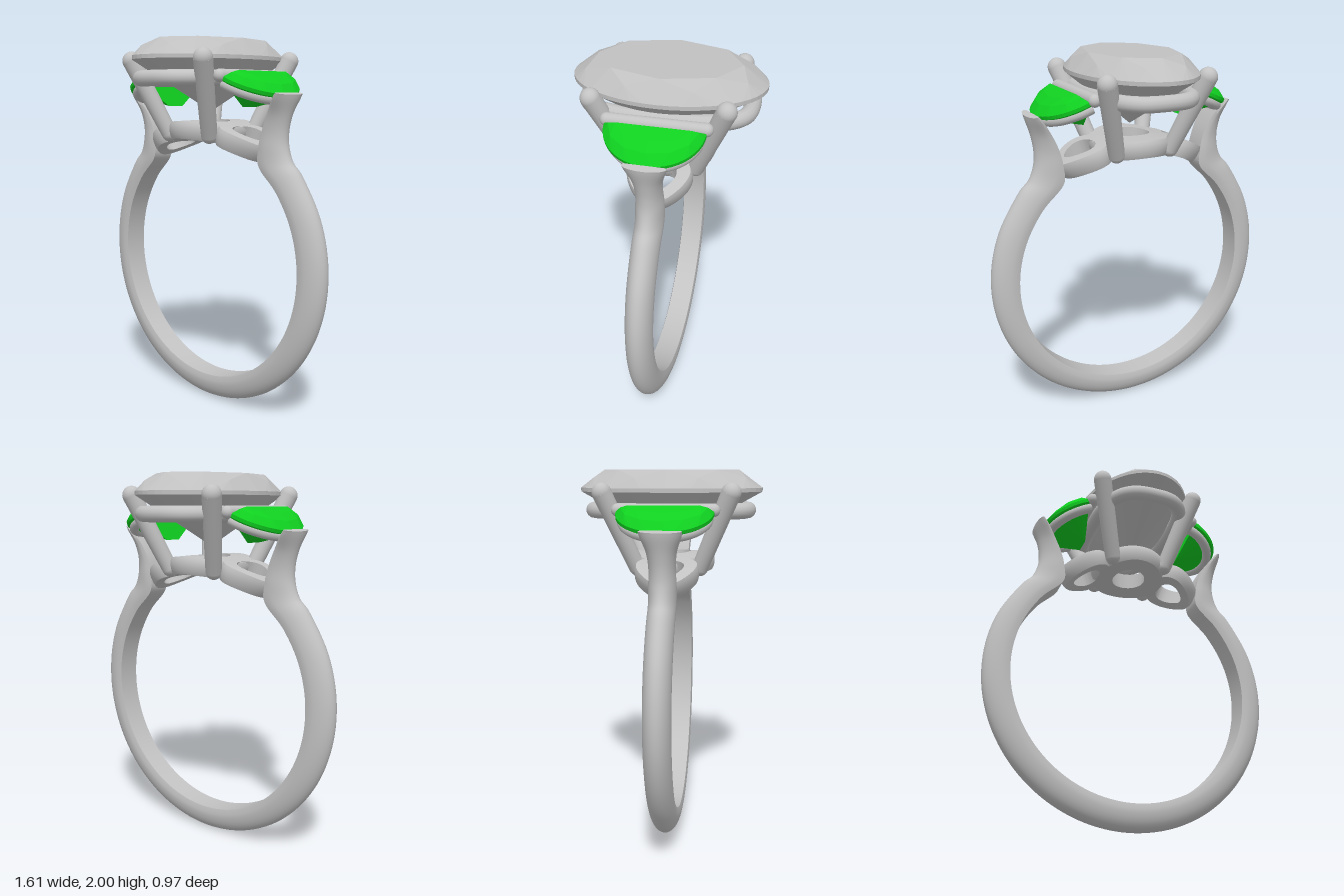
import * as THREE from 'three';
import { toCreasedNormals } from 'three/addons/utils/BufferGeometryUtils.js';
import { ConvexGeometry } from 'three/addons/geometries/ConvexGeometry.js';

const metal = new THREE.MeshStandardMaterial({ color: 0xc2c2c2 });
metal.name = 'silver metal';
const clear = new THREE.MeshStandardMaterial({ color: 0xc0c0c0 });
clear.name = 'pale gem';
const green = new THREE.MeshStandardMaterial({ color: 0x10d020 });
green.name = 'green gem';

const V = (x, y, z) => new THREE.Vector3(x, y, z);
const CENTRE_Y = 0.81, INNER = 0.67;

function add(parent, name, geometry, material = metal) {
  const mesh = new THREE.Mesh(geometry, material);
  mesh.name = name;
  parent.add(mesh);
  return mesh;
}

// Skin a row of equal-sized cross-sections; either a closed loop or capped at both ends
function loft(sections, closed) {
  const n = sections.length, m = sections[0].length;
  const pts = sections.flat(), tris = [];
  for (let i = 0; i < (closed ? n : n - 1); i++) {
    for (let j = 0; j < m; j++) {
      const k = (j + 1) % m, i2 = (i + 1) % n;
      const a = i * m + j, b = i * m + k, c = i2 * m + k, d = i2 * m + j;
      tris.push([a, b, c], [a, c, d]);
    }
  }
  if (!closed) {
    for (let j = 1; j < m - 1; j++) {
      const e = (n - 1) * m;
      tris.push([0, j + 1, j], [e, e + j, e + j + 1]);
    }
  }
  // Turn the faces outwards when the enclosed volume is negative
  let volume = 0;
  for (const [a, b, c] of tris) volume += pts[a].dot(pts[b].clone().cross(pts[c]));
  if (volume < 0) tris.forEach((t) => t.reverse());
  const g = new THREE.BufferGeometry().setFromPoints(pts);
  g.setIndex(tris.flat());
  return toCreasedNormals(g, 0.7);
}

// Round bar between two points with ball ends
function bar(parent, name, a, b, ra, rb) {
  const dir = b.clone().sub(a);
  const rod = add(parent, name, new THREE.CylinderGeometry(rb, ra, dir.length(), 20, 1));
  rod.position.copy(a).lerp(b, 0.5);
  rod.quaternion.setFromUnitVectors(V(0, 1, 0), dir.normalize());
  for (const [p, r] of [[a, ra], [b, rb]]) {
    add(parent, name + 'End', new THREE.SphereGeometry(r, 20, 14)).position.copy(p);
  }
}

// Round band with a D section, its ends rising into flared side prongs
function shankGeometry() {
  // Columns: inner x, inner y, outer x, outer y, half width
  const arm = [
    [0.41, 1.345, 0.575, 1.375, 0.07],
    [0.405, 1.44, 0.545, 1.45, 0.07],
    [0.425, 1.53, 0.54, 1.525, 0.067],
    [0.465, 1.615, 0.552, 1.605, 0.075],
    [0.515, 1.69, 0.572, 1.68, 0.1],
    [0.54, 1.72, 0.578, 1.71, 0.105],
  ];
  const rows = arm.map(([a, b, c, d, w]) => [-a, b, -c, d, w]).reverse();
  for (let deg = -128; deg <= 128; deg += 16) {
    const s = Math.sin(deg * Math.PI / 180), c = Math.cos(deg * Math.PI / 180);
    rows.push([INNER * s, CENTRE_Y - INNER * c, 0.807 * s, CENTRE_Y - 0.807 * c, 0.07]);
  }
  rows.push(...arm);
  const inner = new THREE.CatmullRomCurve3(rows.map((r) => V(r[0], r[1], 0)), false, 'catmullrom');
  const outer = new THREE.CatmullRomCurve3(rows.map((r) => V(r[2], r[3], r[4])), false, 'catmullrom');
  const profile = [[0, -0.9]];
  for (let i = 0; i <= 16; i++) {
    const a = i / 16 * Math.PI;
    profile.push([0.2 + 0.8 * Math.sin(a), -Math.cos(a)]);
  }
  profile.push([0, 0.9]);
  const sections = [], steps = 168;
  for (let i = 0; i <= steps; i++) {
    const p = inner.getPoint(i / steps), q = outer.getPoint(i / steps);
    sections.push(profile.map(([u, z]) => V(p.x + (q.x - p.x) * u, p.y + (q.y - p.y) * u, z * q.z)));
  }
  return loft(sections, false);
}

// Pierced plate bent over the finger hole: edge(angle) gives the outline as [s, z]
function bentPlate(centre, edge, hole) {
  const sections = [];
  for (let i = 0; i < 64; i++) {
    const [s, z] = edge(i / 64 * Math.PI * 2);
    const at = (k, h) => {
      const t = (centre + s * k) / 0.72, r = INNER + h;
      return V(r * Math.sin(t), CENTRE_Y + r * Math.cos(t), z * k);
    };
    sections.push([at(hole, 0), at(0.95, 0), at(0.99, 0.02), at(1, 0.048),
      at(0.99, 0.075), at(0.94, 0.093), at(hole, 0.095)]);
  }
  return loft(sections, true);
}

// Oval brilliant with table, crown, thin girdle and pointed pavilion
function ovalGem() {
  const pts = [V(0, 1.62, 0)];
  const ring = (n, r, y, offset = 0) => {
    for (let i = 0; i < n; i++) {
      const a = (i + offset) / n * Math.PI * 2;
      pts.push(V(0.315 * r * Math.cos(a), y, 0.483 * r * Math.sin(a)));
    }
  };
  ring(8, 0.74, 2);
  ring(8, 0.885, 1.961, 0.5);
  ring(48, 1, 1.908);
  ring(48, 1, 1.888);
  ring(8, 0.44, 1.737, 0.5);
  return new ConvexGeometry(pts);
}

// Half-moon gem, straight edge at x = 0
function halfMoonGem() {
  const pts = [V(0.015, -0.15, -0.05), V(0.015, -0.15, 0.05)];
  const arc = (n, x, rx, y, rz) => {
    for (let i = 0; i <= n; i++) {
      const a = (i / n - 0.5) * Math.PI;
      pts.push(V(x + rx * Math.cos(a), y, rz * Math.sin(a)));
    }
  };
  arc(24, 0, 0.22, 0.008, 0.245);
  arc(24, 0, 0.22, -0.01, 0.245);
  arc(6, 0.02, 0.15, 0.04, 0.215);
  arc(4, 0.025, 0.085, 0.053, 0.18);
  return new ConvexGeometry(pts);
}

export function createModel() {
  const ring = new THREE.Group();
  ring.name = 'threeStoneRing';
  add(ring, 'shank', shankGeometry());

  // Pierced bridge under the stones
  add(ring, 'bridgeCentre', bentPlate(0, (a) => [0.22 * Math.cos(a), 0.235 * Math.sin(a)], 0.45));

  // Centre stone with its rail and four prongs
  add(ring, 'centreStone', ovalGem(), clear);
  const oval = [];
  for (let i = 0; i < 48; i++) {
    const a = i / 48 * Math.PI * 2, c = Math.cos(a), s = Math.sin(a);
    const k = Math.pow(Math.abs(c) ** 3 + Math.abs(s) ** 3, -1 / 3);
    oval.push(V(0.232 * k * c, 1.793, 0.41 * k * s));
  }
  add(ring, 'centreRail', new THREE.TubeGeometry(
    new THREE.CatmullRomCurve3(oval, true), 96, 0.041, 14, true));
  for (const sx of [1, -1]) for (const sz of [1, -1]) {
    bar(ring, 'prong', V(sx * 0.155, 1.5, sz * 0.165), V(sx * 0.276, 1.888, sz * 0.325), 0.043, 0.05);
  }

  // Side settings, the second turned half way round
  for (const side of ['left', 'right']) {
    const setting = new THREE.Group();
    setting.name = side + 'Setting';
    setting.rotation.y = side === 'left' ? 0 : Math.PI;
    ring.add(setting);

    add(setting, 'bridgeLoop', bentPlate(0.285,
      (a) => [0.15 * Math.cos(a), 0.16 * Math.sin(a) * (1 - 0.3 * Math.cos(a))], 0.55));
    bar(setting, 'edgeBar', V(0.305, 1.803, -0.24), V(0.305, 1.803, 0.24), 0.033, 0.033);

    const tilted = new THREE.Group();
    tilted.name = 'halfMoon';
    tilted.position.set(0.33, 1.79, 0);
    tilted.rotation.z = -0.4;
    setting.add(tilted);
    add(tilted, 'sideStone', halfMoonGem(), green);
    const arc = [];
    for (let i = 0; i <= 16; i++) {
      const a = (i / 16 - 0.5) * Math.PI;
      arc.push(V(-0.01 + 0.2 * Math.cos(a), -0.035, 0.215 * Math.sin(a)));
    }
    add(tilted, 'sideRail', new THREE.TubeGeometry(new THREE.CatmullRomCurve3(arc), 40, 0.027, 12));
  }
  return ring;
}
